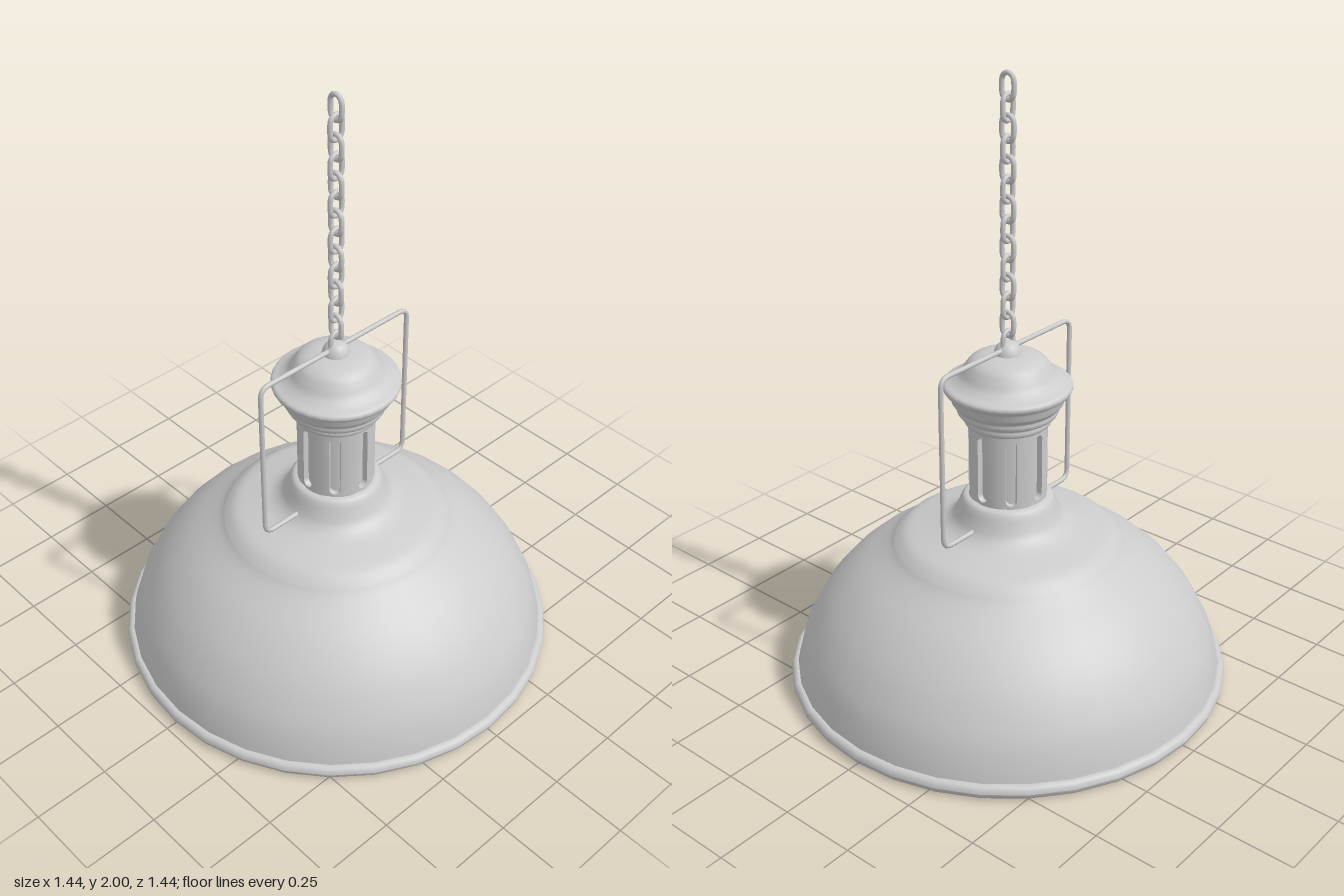
import * as THREE from 'three';

const grey = new THREE.MeshStandardMaterial({ color: 0xcccccc, side: THREE.DoubleSide });
const SEGMENTS = 32;

function add(parent, name, geometry) {
  const mesh = new THREE.Mesh(geometry, grey);
  mesh.name = name;
  parent.add(mesh);
  return mesh;
}

// Smooth curve through [radius, height] points, for turned parts
function smoothProfile(points, samples) {
  const curve = new THREE.SplineCurve(points.map(([x, y]) => new THREE.Vector2(x, y)));
  return curve.getPoints(samples).map(p => p.setX(Math.max(p.x, 0)));
}

// One neck panel with a rounded slot, bent around the axis
function neckPanel(radius, depth, bottom, top) {
  const half = radius * Math.PI / 8;
  const shape = new THREE.Shape();
  shape.moveTo(-half, bottom);
  for (let i = 1; i <= 4; i++) shape.lineTo(-half + half * i / 2, bottom);
  for (let i = 0; i <= 4; i++) shape.lineTo(half - half * i / 2, top);
  const r = 0.018, low = 0.678, high = 0.867;
  const slot = new THREE.Path();
  slot.moveTo(r, low);
  slot.absarc(0, low, r, 0, Math.PI, true);
  slot.absarc(0, high, r, Math.PI, 0, true);
  slot.lineTo(r, low);
  shape.holes.push(slot);
  const geo = new THREE.ExtrudeGeometry(shape, { depth, bevelEnabled: false, curveSegments: 8 });
  const pos = geo.attributes.position, normal = geo.attributes.normal;
  const up = new THREE.Vector3(0, 1, 0), n = new THREE.Vector3();
  for (let i = 0; i < pos.count; i++) {
    const angle = pos.getX(i) / radius;
    const rad = radius - depth + pos.getZ(i);
    n.fromBufferAttribute(normal, i).applyAxisAngle(up, angle);
    normal.setXYZ(i, n.x, n.y, n.z);
    pos.setXYZ(i, rad * Math.sin(angle), pos.getY(i), rad * Math.cos(angle));
  }
  return geo;
}

// Stadium-shaped chain link
function linkGeometry() {
  const r = 0.022, straight = 0.017, pts = [];
  for (let i = 0; i < 16; i++) {
    const a = (i + 0.5) / 16 * Math.PI * 2;
    pts.push(new THREE.Vector3(r * Math.cos(a), r * Math.sin(a) + Math.sign(Math.sin(a)) * straight, 0));
  }
  return new THREE.TubeGeometry(new THREE.CatmullRomCurve3(pts, true), 32, 0.008, 8, true);
}

// Rod with rounded corners in the y-z plane
function rodPath(points, radius) {
  const path = new THREE.CurvePath();
  const v = points.map(([y, z]) => new THREE.Vector3(0, y, z));
  let from = v[0];
  for (let i = 1; i < v.length - 1; i++) {
    const a = v[i].clone().add(v[i - 1].clone().sub(v[i]).setLength(radius));
    const b = v[i].clone().add(v[i + 1].clone().sub(v[i]).setLength(radius));
    path.add(new THREE.LineCurve3(from, a));
    path.add(new THREE.QuadraticBezierCurve3(a, v[i], b));
    from = b;
  }
  path.add(new THREE.LineCurve3(from, v[v.length - 1]));
  return path;
}

export function createModel() {
  const model = new THREE.Group();
  model.name = 'pendantLamp';

  // Domed shade: outer skin, inner skin and rolled rim
  const shadePoints = [
    [0.70, 0.035], [0.685, 0.1], [0.655, 0.18], [0.59, 0.285], [0.50, 0.38], [0.395, 0.458],
    [0.365, 0.487], [0.33, 0.512], [0.275, 0.528], [0.215, 0.545], [0.182, 0.567],
    [0.165, 0.595], [0.15, 0.63], [0.138, 0.645], [0.118, 0.65],
  ];
  const outer = smoothProfile(shadePoints, 56);
  add(model, 'shadeOuter', new THREE.LatheGeometry(outer, SEGMENTS));
  const inner = outer.map(p => new THREE.Vector2(p.x - 0.012, p.y - 0.01)).reverse();
  add(model, 'shadeInner', new THREE.LatheGeometry(inner, SEGMENTS));
  const rim = [];
  for (let i = 0; i <= 14; i++) {
    const a = i / 14 * Math.PI * 2;
    rim.push(new THREE.Vector2(0.70 + 0.021 * Math.cos(a), 0.023 + 0.023 * Math.sin(a)));
  }
  add(model, 'shadeRim', new THREE.LatheGeometry(rim, SEGMENTS));

  // Slotted neck around a plain core
  const neck = new THREE.Group();
  neck.name = 'neck';
  model.add(neck);
  const panel = neckPanel(0.125, 0.02, 0.64, 0.91);
  for (let i = 0; i < 8; i++) add(neck, 'neckPanel', panel).rotation.y = i * Math.PI / 4;
  const core = add(neck, 'neckCore', new THREE.CylinderGeometry(0.107, 0.107, 0.3, SEGMENTS));
  core.position.y = 0.775;

  // Stepped collar, cap and finial
  add(model, 'collar', new THREE.LatheGeometry(smoothProfile([
    [0.11, 0.895], [0.133, 0.9], [0.139, 0.912], [0.139, 0.925], [0.155, 0.933], [0.161, 0.945],
    [0.162, 0.958], [0.175, 0.972], [0.181, 0.99], [0.186, 1.003], [0.199, 1.012],
  ], 40), SEGMENTS));
  add(model, 'cap', new THREE.LatheGeometry(smoothProfile([
    [0.199, 1.012], [0.203, 1.022], [0.198, 1.033], [0.175, 1.043], [0.152, 1.06],
    [0.135, 1.085], [0.116, 1.108], [0.085, 1.123], [0.04, 1.13], [0, 1.132],
  ], 36), SEGMENTS));
  add(model, 'finial', new THREE.LatheGeometry(smoothProfile([
    [0.046, 1.12], [0.042, 1.137], [0.034, 1.153], [0.02, 1.165], [0, 1.168],
  ], 16), 24));

  // Wire bail running over the finial and hooking into the shade
  const bail = rodPath([
    [0.573, -0.16], [0.573, -0.306], [1.145, -0.306], [1.145, 0.306], [0.573, 0.306], [0.573, 0.16],
  ], 0.035);
  add(model, 'bail', new THREE.TubeGeometry(bail, 180, 0.008, 8, false));

  // Chain of alternating links
  const chain = new THREE.Group();
  chain.name = 'chain';
  model.add(chain);
  const link = linkGeometry();
  for (let i = 0; i < 14; i++) {
    const mesh = add(chain, 'chainLink', link);
    mesh.position.y = 1.953 - i * 0.0607;
    mesh.rotation.y = (i % 2) * Math.PI / 2;
  }

  // Bulb and its socket
  add(model, 'bulb', new THREE.LatheGeometry(smoothProfile([
    [0, 0.052], [0.065, 0.065], [0.12, 0.102], [0.156, 0.156], [0.168, 0.22], [0.156, 0.28],
    [0.125, 0.335], [0.09, 0.385], [0.07, 0.43], [0.065, 0.48],
  ], 40), SEGMENTS));
  const socket = add(model, 'socket', new THREE.CylinderGeometry(0.08, 0.08, 0.19, SEGMENTS));
  socket.position.y = 0.56;

  return model;
}
